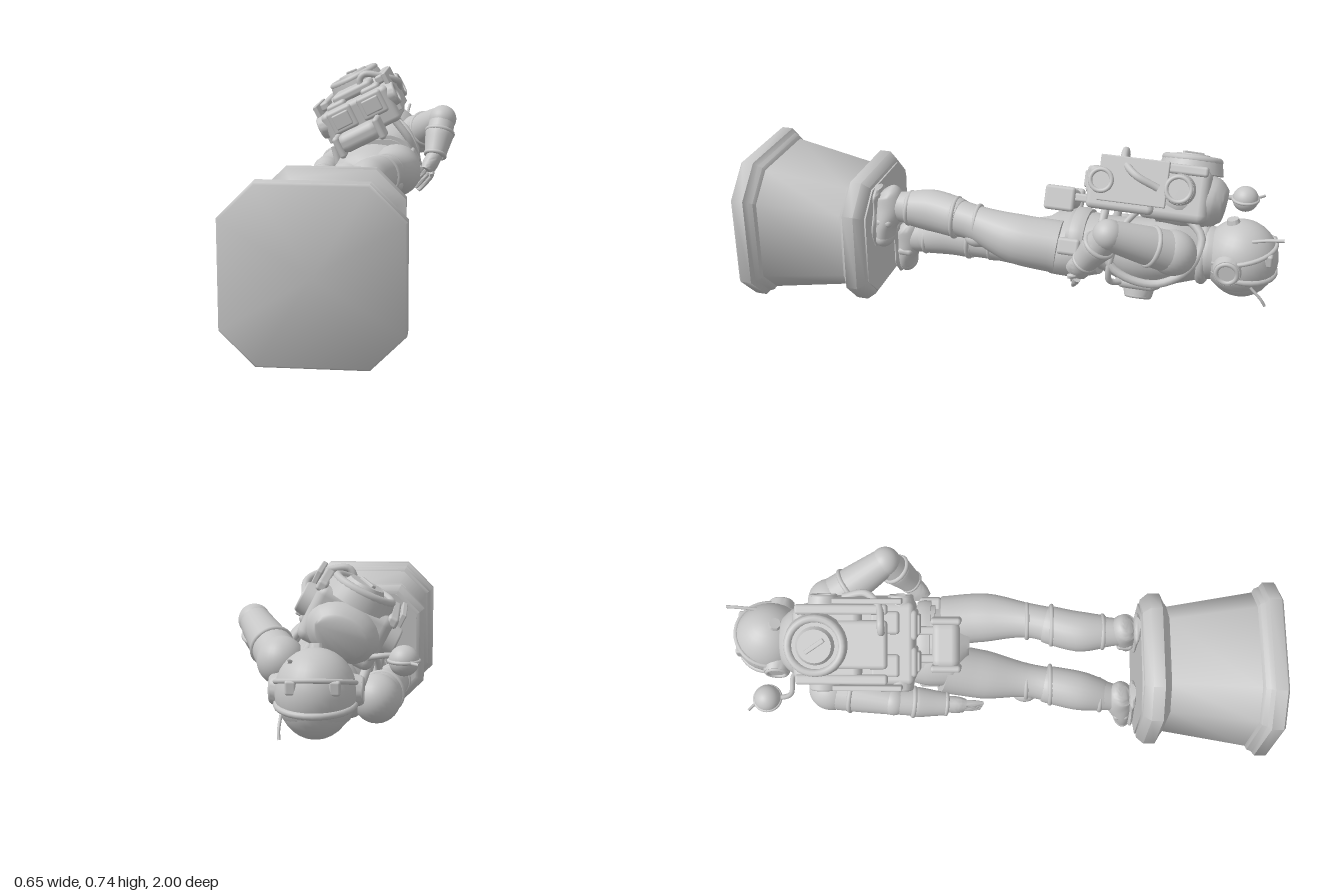
import * as THREE from 'three';
import { toCreasedNormals } from 'three/addons/utils/BufferGeometryUtils.js';
import { RoundedBoxGeometry } from 'three/addons/geometries/RoundedBoxGeometry.js';

const V = (x, y, z) => new THREE.Vector3(x, y, z);

export function createModel() {
  const stone = new THREE.MeshStandardMaterial({ color: 0xc6c6c6 });
  stone.name = 'plain grey';
  const model = new THREE.Group();
  model.name = 'spacefarerStatue';

  const add = (parent, name, geo, pos = [0, 0, 0], rot = [0, 0, 0], scale = [1, 1, 1]) => {
    const m = new THREE.Mesh(geo, stone);
    m.name = name;
    m.position.set(...pos);
    m.rotation.set(...rot);
    m.scale.set(...scale);
    parent.add(m);
    return m;
  };
  const group = (parent, name) => {
    const g = new THREE.Group();
    g.name = name;
    parent.add(g);
    return g;
  };

  // Closed skin over rings that run anticlockwise around the direction of travel
  const skin = (rings, crease) => {
    const n = rings[0].length, pos = [], idx = [];
    rings.forEach(r => r.forEach(p => pos.push(p.x, p.y, p.z)));
    for (let j = 0; j < rings.length - 1; j++) for (let i = 0; i < n; i++) {
      const a = j * n + i, b = j * n + (i + 1) % n;
      idx.push(a, b, b + n, a, b + n, a + n);
    }
    const last = (rings.length - 1) * n;
    for (let i = 1; i < n - 1; i++) idx.push(0, i + 1, i, last, last + i, last + i + 1);
    const g = new THREE.BufferGeometry();
    g.setAttribute('position', new THREE.Float32BufferAttribute(pos, 3));
    g.setIndex(idx);
    return toCreasedNormals(g, crease);
  };

  // Limb through rows of [x, y, z, radiusAcross, radiusDeep]
  const sweep = (parent, name, rows, steps = 5) => {
    const path = new THREE.CatmullRomCurve3(rows.map(r => V(r[0], r[1], r[2])));
    const girth = new THREE.CatmullRomCurve3(rows.map(r => V(r[3], r[4] ?? r[3], 0)));
    const count = (rows.length - 1) * steps, rings = [];
    for (let j = 0; j <= count; j++) {
      const t = path.getTangent(j / count), c = path.getPoint(j / count), r = girth.getPoint(j / count);
      const side = V(1, 0, 0).addScaledVector(t, -t.x).normalize(), up = t.clone().cross(side);
      rings.push(Array.from({ length: 24 }, (_, i) => {
        const a = i / 24 * Math.PI * 2;
        return c.clone().addScaledVector(side, Math.cos(a) * r.x).addScaledVector(up, Math.sin(a) * r.y);
      }));
    }
    return add(parent, name, skin(rings, 0.9));
  };
  const ball = (parent, name, pos, r) => add(parent, name, new THREE.SphereGeometry(1, 28, 18), pos, [0, 0, 0], r);
  const disc = (parent, name, pos, dir, r1, r2, h) => {
    const m = add(parent, name, toCreasedNormals(new THREE.CylinderGeometry(r2, r1, h, 28), 0.7), pos);
    m.quaternion.setFromUnitVectors(V(0, 1, 0), V(...dir).normalize());
    return m;
  };
  const ring = (parent, name, pos, dir, r, tube) => {
    const m = add(parent, name, new THREE.TorusGeometry(r, tube, 10, 32), pos);
    m.quaternion.setFromUnitVectors(V(0, 0, 1), V(...dir).normalize());
    return m;
  };
  const box = (parent, name, size, pos, radius = 0.012, rot) =>
    add(parent, name, new RoundedBoxGeometry(...size, 2, radius), pos, rot);
  const hose = (parent, name, pts, r) =>
    add(parent, name, new THREE.TubeGeometry(new THREE.CatmullRomCurve3(pts.map(p => V(...p))), 32, r, 10));

  // Pedestal: chamfered square sections from foot to cap
  const plinth = group(model, 'pedestal');
  const octagon = (h, z) => {
    const k = h * 0.61;
    return [[h, -k], [h, k], [k, h], [-k, h], [-h, k], [-h, -k], [-k, -h], [k, -h]]
      .reverse().map(([x, y]) => V(x - 0.045, y + 0.283, z));
  };
  const sections = [[0.002, 1], [0.275, 1], [0.282, 0.993], [0.282, 0.95], [0.268, 0.937], [0.262, 0.92], [0.25, 0.912],
    [0.203, 0.6], [0.215, 0.59], [0.245, 0.572], [0.245, 0.53], [0.225, 0.502], [0.212, 0.5], [0.212, 0.494]];
  add(plinth, 'plinthBody', skin(sections.map(([h, z]) => octagon(h, z)), 0.8));
  box(plinth, 'plaqueFrame', [0.17, 0.009, 0.15], [-0.045, 0.058, 0.76], 0.003, [0.15, 0, 0]);
  box(plinth, 'plaque', [0.14, 0.009, 0.12], [-0.045, 0.055, 0.76], 0.003, [0.15, 0, 0]);

  // Legs: the suit leg, gaiter, knee pad and boot follow one set of joints
  const legs = [
    { name: 'rearLeg', out: 1, hip: [0.105, 0.38, -0.22], thigh: [0.115, 0.395, -0.07], knee: [0.09, 0.425, 0.11], shin: [0.05, 0.428, 0.27], ankle: [0.05, 0.425, 0.42] },
    { name: 'frontLeg', out: -1, hip: [-0.06, 0.33, -0.22], thigh: [-0.07, 0.285, -0.07], knee: [-0.085, 0.255, 0.11], shin: [-0.115, 0.245, 0.27], ankle: [-0.13, 0.2, 0.42] }
  ];
  for (const { name, out, hip, thigh, knee, shin, ankle } of legs) {
    const g = group(model, name);
    sweep(g, 'suitLeg', [[...hip, 0.093, 0.095], [...thigh, 0.09, 0.09], [...knee, 0.062, 0.066], [...shin, 0.066, 0.07], [...ankle, 0.048, 0.055]]);
    const along = t => knee.map((k, i) => t < 0.5 ? k + (shin[i] - k) * 2 * t : shin[i] + (ankle[i] - shin[i]) * (2 * t - 1));
    sweep(g, 'gaiter', [[...along(0.13), 0.066, 0.07], [...along(0.17), 0.069, 0.074], [...along(0.5), 0.073, 0.078], [...along(0.78), 0.062, 0.066], [...along(0.84), 0.058, 0.06]]);
    ring(g, 'gaiterBand', along(0.2), [0, 0, 1], 0.071, 0.008);
    ring(g, 'ankleBand', along(0.8), [0, 0, 1], 0.058, 0.009);
    ball(g, 'kneePad', [knee[0] + 0.02 * out, knee[1] - 0.048, knee[2] - 0.03], [0.045, 0.034, 0.05]);
    ring(g, 'kneeStrap', [knee[0], knee[1], knee[2] - 0.025], [0, 0, 1], 0.062, 0.008);
    const [x, y] = ankle;
    sweep(g, 'boot', [[x, y + 0.065, 0.455, 0.025, 0.025], [x, y + 0.05, 0.445, 0.05, 0.046], [x + 0.005 * out, y, 0.437, 0.056, 0.056],
      [x + 0.016 * out, y - 0.07, 0.452, 0.062, 0.04], [x + 0.024 * out, y - 0.12, 0.458, 0.052, 0.034], [x + 0.026 * out, y - 0.145, 0.462, 0.025, 0.02]]);
    sweep(g, 'sole', [[x, y + 0.07, 0.483, 0.03, 0.012], [x, y + 0.045, 0.483, 0.057, 0.014], [x + 0.005 * out, y - 0.01, 0.483, 0.052, 0.014],
      [x + 0.018 * out, y - 0.085, 0.483, 0.066, 0.014], [x + 0.026 * out, y - 0.152, 0.483, 0.03, 0.012]]);
    ball(g, 'toeCap', [x + 0.024 * out, y - 0.115, 0.457], [0.054, 0.04, 0.036]);
    box(g, 'bootStrap', [0.125, 0.03, 0.06], [x + 0.01 * out, y - 0.045, 0.445], 0.014);
  }
  sweep(model, 'pelvis', [[0.025, 0.35, -0.13, 0.07, 0.07], [0.025, 0.355, -0.19, 0.155, 0.1], [0.02, 0.36, -0.27, 0.155, 0.112], [0.02, 0.37, -0.36, 0.135, 0.1]]);

  // Torso, turned about the long axis of the figure
  const torso = group(model, 'torso');
  torso.position.set(0.02, 0.38, 0);
  torso.rotation.z = 0.47;
  sweep(torso, 'jacket', [[0, 0, -0.25, 0.14, 0.1], [0, 0, -0.36, 0.135, 0.098], [0, -0.015, -0.5, 0.15, 0.12], [0, 0, -0.62, 0.16, 0.115], [0, 0.005, -0.7, 0.115, 0.095], [0, 0.01, -0.76, 0.07, 0.07]]);
  sweep(torso, 'belt', [[0, 0, -0.265, 0.155, 0.113], [0, 0, -0.29, 0.157, 0.115], [0, 0, -0.315, 0.15, 0.111]], 2);
  box(torso, 'buckle', [0.07, 0.02, 0.05], [0, -0.115, -0.29]);
  ring(torso, 'neckRing', [0, 0.01, -0.725], [0, 0, 1], 0.093, 0.02);
  box(torso, 'chestUnit', [0.17, 0.06, 0.14], [-0.01, -0.12, -0.51], 0.02);
  disc(torso, 'chestDial', [-0.015, -0.155, -0.51], [0, -1, 0], 0.058, 0.05, 0.04);
  ring(torso, 'chestDialRim', [-0.015, -0.175, -0.51], [0, 1, 0], 0.04, 0.009);
  disc(torso, 'chestDialHub', [-0.015, -0.177, -0.51], [0, -1, 0], 0.024, 0.02, 0.015);
  for (const s of [-1, 1]) {
    hose(torso, 'shoulderStrap', [[s * 0.09, 0.14, -0.64], [s * 0.1, 0.06, -0.72], [s * 0.105, -0.05, -0.69], [s * 0.1, -0.12, -0.58], [s * 0.13, -0.09, -0.44], [s * 0.15, 0.02, -0.38], [s * 0.13, 0.13, -0.38]], 0.015);
    hose(torso, 'chestHose', [[s * 0.06, -0.13, -0.46], [s * 0.1, -0.13, -0.42], [s * 0.14, -0.07, -0.42], [s * 0.15, 0.06, -0.45], [s * 0.1, 0.14, -0.5]], 0.011);
    box(torso, 'beltPouch', [0.05, 0.06, 0.08], [s * 0.14, -0.03, -0.27], 0.012);
  }

  // Life support pack, slimmer towards its top and bottom ends
  const pack = group(torso, 'backpack');
  pack.position.x = 0.025;
  sweep(pack, 'packTop', [[0, 0.19, -0.55, 0.13, 0.1], [0, 0.19, -0.67, 0.13, 0.1], [0, 0.185, -0.74, 0.115, 0.09], [0, 0.18, -0.775, 0.085, 0.06]]);
  box(pack, 'packUpper', [0.26, 0.19, 0.24], [0, 0.2, -0.61], 0.03);
  box(pack, 'packLower', [0.29, 0.15, 0.24], [0, 0.19, -0.43], 0.02);
  box(pack, 'packSpine', [0.17, 0.04, 0.32], [0, 0.285, -0.56], 0.015);
  disc(pack, 'mainHatch', [0, 0.305, -0.645], [0, 1, 0], 0.115, 0.105, 0.05);
  ring(pack, 'mainHatchRim', [0, 0.328, -0.645], [0, 1, 0], 0.094, 0.014);
  disc(pack, 'mainHatchLid', [0, 0.332, -0.645], [0, 1, 0], 0.075, 0.058, 0.03);
  box(pack, 'mainHatchHandle', [0.016, 0.012, 0.08], [0, 0.35, -0.645], 0.004, [0, 0.6, 0]);
  for (const s of [-1, 1]) {
    box(pack, 'sideRail', [0.018, 0.16, 0.24], [s * 0.151, 0.225, -0.47], 0.004);
    box(pack, 'edgeGuard', [0.035, 0.035, 0.32], [s * 0.122, 0.285, -0.56], 0.01);
    for (const [z, r] of [[-0.63, 0.057], [-0.36, 0.05]]) {
      disc(pack, 'sidePort', [s * 0.142, 0.215, z], [s, 0, 0], r, r * 0.9, 0.04);
      ring(pack, 'sidePortRim', [s * 0.161, 0.215, z], [1, 0, 0], r * 0.75, 0.008);
    }
    box(pack, 'lowerPanelFrame', [0.105, 0.095, 0.03], [s * 0.065, 0.215, -0.315], 0.012);
    box(pack, 'lowerPanel', [0.07, 0.06, 0.02], [s * 0.065, 0.215, -0.3], 0.006);
    box(pack, 'backPocket', [0.08, 0.04, 0.1], [s * 0.075, 0.262, -0.41], 0.012);
  }
  hose(torso, 'packHose', [[0.07, 0.27, -0.42], [0.072, 0.315, -0.42], [0.1, 0.33, -0.42], [0.16, 0.29, -0.43], [0.2, 0.245, -0.48], [0.185, 0.21, -0.56]], 0.013);
  box(torso, 'hipPack', [0.17, 0.075, 0.1], [0.01, 0.138, -0.205], 0.03);
  for (const s of [-1, 1]) {
    box(torso, 'hipPackEnd', [0.025, 0.088, 0.11], [0.01 + s * 0.085, 0.135, -0.205], 0.012);
    box(torso, 'hipPackStrap', [0.03, 0.03, 0.12], [0.01 + s * 0.05, 0.145, -0.27], 0.008);
  }

  // Arms: one bent with its hand at the hip, one hanging; f is the reach of the fingers
  const arms = [
    { name: 'bentArm', s: [0.16, 0.45, -0.635], e: [0.272, 0.545, -0.43], w: [0.248, 0.415, -0.345], h: [0.215, 0.355, -0.31], f: [-0.045, -0.055, 0.025] },
    { name: 'hangingArm', s: [-0.145, 0.33, -0.63], e: [-0.19, 0.335, -0.4], w: [-0.19, 0.3, -0.21], h: [-0.19, 0.28, -0.145], f: [0.005, -0.015, 0.066] }
  ];
  const mix = (a, b, t) => a.map((v, i) => v + (b[i] - v) * t);
  for (const { name, s, e, w, h, f } of arms) {
    const g = group(model, name);
    const toElbow = e.map((v, i) => v - s[i]), toWrist = w.map((v, i) => v - e[i]);
    ball(g, 'shoulder', s, [0.078, 0.08, 0.082]);
    sweep(g, 'upperArm', [[...s, 0.074], [...mix(s, e, 0.45), 0.066], [...e, 0.052]]);
    ball(g, 'elbow', e, [0.054, 0.054, 0.054]);
    ring(g, 'upperArmBand', mix(s, e, 0.35), toElbow, 0.066, 0.009);
    sweep(g, 'forearm', [[...e, 0.05], [...mix(e, w, 0.4), 0.051], [...w, 0.038]]);
    sweep(g, 'gauntlet', [[...mix(e, w, 0.35), 0.053], [...mix(e, w, 0.42), 0.056], [...mix(e, w, 0.8), 0.047], [...mix(e, w, 1.02), 0.042]]);
    ring(g, 'gauntletCuff', mix(e, w, 0.38), toWrist, 0.051, 0.009);
    ring(g, 'wristRing', w, toWrist, 0.038, 0.008);
    sweep(g, 'palm', [[...w, 0.03, 0.034], [...mix(w, h, 0.6), 0.03, 0.042], [...h, 0.024, 0.04]]);
    const reach = V(...f).normalize(), spread = V(0, 1, 0).addScaledVector(reach, -reach.y).normalize();
    for (let i = 0; i < 4; i++) {
      const b = V(...h).addScaledVector(spread, (i - 1.5) * 0.018);
      sweep(g, 'finger', [[0, 0.013], [0.5, 0.012], [1, 0.007]].map(([t, r]) => [...b.clone().add(V(...f).multiplyScalar(t)).toArray(), r]), 3);
    }
    const p = mix(w, h, 0.4);
    sweep(g, 'thumb', [[p[0], p[1] - 0.02, p[2], 0.015], [p[0], p[1] - 0.04, p[2] + 0.02, 0.013], [p[0] + 0.004, p[1] - 0.048, p[2] + 0.045, 0.008]], 3);
  }

  // Helmet, its visor looking towards -y
  const head = group(model, 'helmet');
  head.position.set(0.03, 0.4, -0.853);
  ball(head, 'shell', [0, 0, 0], [0.125, 0.135, 0.13]);
  ball(head, 'visor', [0, -0.022, -0.004], [0.112, 0.122, 0.118]);
  ring(head, 'visorRim', [0, -0.035, -0.004], [0, 1, -0.1], 0.118, 0.011);
  ring(head, 'crownBand', [0, 0.03, 0], [0, 1, 0.25], 0.122, 0.008);
  sweep(head, 'collar', [[0, 0, 0.14, 0.085, 0.085], [0, 0, 0.115, 0.095, 0.095], [0, 0, 0.085, 0.09, 0.09]], 3);
  disc(head, 'rearPort', [0, 0.13, 0.035], [0, 1, 0.25], 0.026, 0.02, 0.025);
  for (const s of [-1, 1]) {
    disc(head, 'earDisc', [s * 0.12, 0, 0.03], [s, 0, 0], 0.053, 0.046, 0.035);
    ring(head, 'earRim', [s * 0.137, 0, 0.03], [1, 0, 0], 0.036, 0.008);
    box(head, 'headLamp', [0.035, 0.045, 0.03], [s * 0.065, 0.035, -0.1], 0.008);
  }
  hose(head, 'rearAntenna', [[0.07, 0.1, -0.04], [0.071, 0.112, -0.09], [0.072, 0.12, -0.147]], 0.006);
  hose(head, 'frontAntenna', [[0.1, -0.06, -0.05], [0.103, -0.1, -0.09], [0.1, -0.125, -0.105]], 0.005);

  // Ball lamp on a bent stalk beside the helmet
  const lamp = group(model, 'shoulderLamp');
  hose(lamp, 'lampStalk', [[-0.1, 0.47, -0.7], [-0.15, 0.49, -0.745], [-0.22, 0.495, -0.75], [-0.235, 0.495, -0.8]], 0.009);
  ball(lamp, 'lampBall', [-0.235, 0.495, -0.83], [0.047, 0.047, 0.047]);
  ring(lamp, 'lampBand', [-0.235, 0.495, -0.83], [0, 1, 0], 0.046, 0.006);
  hose(lamp, 'lampAerial', [[-0.25, 0.495, -0.86], [-0.262, 0.495, -0.878], [-0.28, 0.495, -0.895]], 0.005);

  return model;
}
